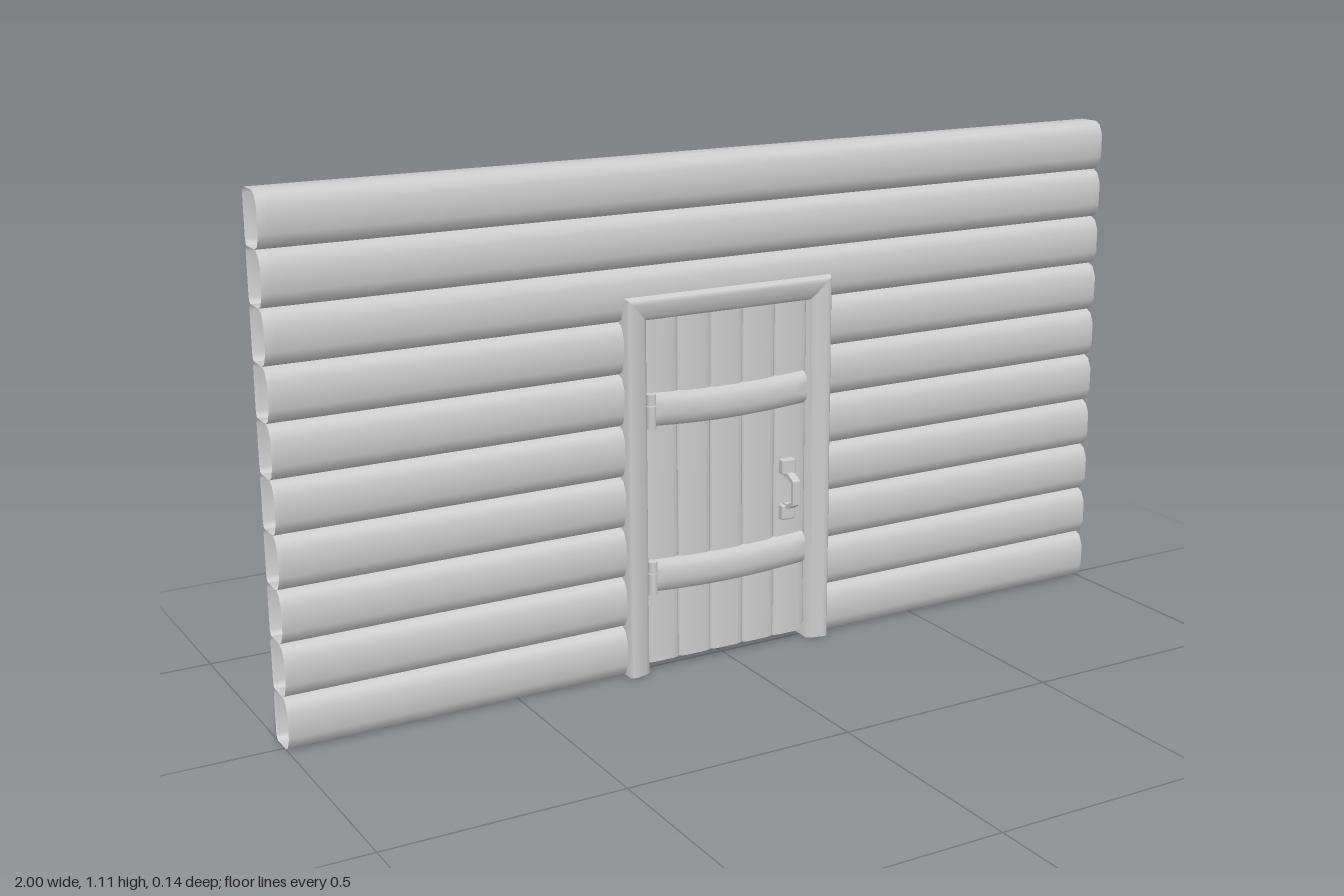
import * as THREE from 'three';
import { toCreasedNormals } from 'three/addons/utils/BufferGeometryUtils.js';
import { RoundedBoxGeometry } from 'three/addons/geometries/RoundedBoxGeometry.js';

const material = new THREE.MeshStandardMaterial({ color: 0xcccccc });
const openMaterial = new THREE.MeshStandardMaterial({ color: 0xcccccc, side: THREE.DoubleSide });

function add(parent, name, geometry, x = 0, y = 0, z = 0) {
  const mesh = new THREE.Mesh(geometry, material);
  mesh.name = name;
  mesh.position.set(x, y, z);
  parent.add(mesh);
  return mesh;
}

// Skin a list of closed rings of [x, y, z] points, with optional end caps.
function loft(rings, capped = true) {
  const n = rings[0].length;
  const index = [];
  for (let i = 0; i < rings.length - 1; i++) {
    for (let j = 0; j < n; j++) {
      const a = i * n + j, b = i * n + (j + 1) % n;
      index.push(a, b, a + n, b, b + n, a + n);
    }
  }
  if (capped) {
    const last = (rings.length - 1) * n;
    for (let j = 1; j < n - 1; j++) {
      index.push(0, j + 1, j, last, last + j, last + j + 1);
    }
  }
  const geometry = new THREE.BufferGeometry();
  geometry.setAttribute('position', new THREE.Float32BufferAttribute(rings.flat(2), 3));
  geometry.setIndex(index);
  return toCreasedNormals(geometry, 1);
}

// Straight beam between two rings; extra rings near the ends keep the shading even.
function beam(start, end, capped = true) {
  const mix = t => start.map((p, j) => p.map((v, k) => v + (end[j][k] - v) * t));
  return loft([0, 0.01, 0.99, 1].map(mix), capped);
}

// Hollow logs with a softly rounded front and a flat back, open at the ends.
function createWall() {
  const wall = new THREE.Group();
  wall.name = 'logWall';
  const rows = 10, h = 1.11 / rows;
  const profile = [
    [h, 0.006], [h - 0.007, 0.02], [h - 0.03, 0.03], [0.03, 0.03], [0.007, 0.02], [0, 0.006],
    [0, -0.041], [0.003, -0.047], [0.012, -0.05], [h - 0.012, -0.05], [h - 0.003, -0.047], [h, -0.041],
  ];
  const ring = x => profile.map(([y, z]) => [x, y, z]);
  for (let i = 0; i < rows; i++) {
    // Lower logs stop either side of the doorway.
    const spans = i < 7 ? [[-1, -0.22], [0.22, 1]] : [[-1, 1]];
    for (const [x0, x1] of spans) {
      add(wall, 'log', beam(ring(x0), ring(x1), false), 0, i * h).material = openMaterial;
    }
  }
  return wall;
}

// Mitred jambs and lintel whose front slopes in to the opening; [u, z], u = 0 at the opening.
function createFrame() {
  const frame = new THREE.Group();
  frame.name = 'doorFrame';
  const profile = [
    [0.05, 0.042], [0.045, 0.047], [0.036, 0.047], [0.008, 0.04], [0, 0.033],
    [0, -0.052], [0.004, -0.062], [0.013, -0.069],
    [0.039, -0.069], [0.047, -0.064], [0.05, -0.055],
  ];
  const ring = (side, y, flare) => profile.map(([u, z]) => [side * (0.2 + u), y + flare * u, z]);
  const leftTop = ring(-1, 0.78, 1), rightTop = ring(1, 0.78, 1);
  add(frame, 'rightJamb', beam(ring(-1, 0.003, 0), leftTop));
  add(frame, 'lintel', beam(leftTop, rightTop));
  add(frame, 'leftJamb', beam(rightTop, ring(1, 0.003, 0)));
  return frame;
}

function plankGeometry(w) {
  const h = w / 2;
  const profile = [
    [-h, 0.018], [-h + 0.004, 0.021], [-h + 0.016, 0.024], [h - 0.016, 0.024],
    [h - 0.004, 0.021], [h, 0.018], [h, 0.002], [h - 0.004, 0], [-h + 0.004, 0], [-h, 0.002],
  ];
  const ring = y => profile.map(([x, z]) => [x, y, z]);
  return beam(ring(0.02), ring(0.785));
}

// Sagging half-round strap across the planks.
function strapGeometry() {
  const profile = [
    [0.036, 0.015], [0.035, 0.03], [0.026, 0.039], [0.01, 0.043], [-0.01, 0.043],
    [-0.026, 0.039], [-0.035, 0.03], [-0.036, 0.015],
  ];
  const rings = [];
  for (let i = 0; i <= 12; i++) {
    const t = i / 12;
    const sag = -0.008 * Math.sin(Math.PI * t);
    rings.push(profile.map(([y, z]) => [-0.195 + 0.385 * t, y + sag, z]));
  }
  return loft(rings);
}

// Flat bar bent into a trapezoid, drawn as [z, y] and given its width along x.
function gripGeometry(width) {
  const outline = [
    [0.03, 0.04], [0.047, 0.04], [0.07, 0.027], [0.07, -0.027], [0.047, -0.04], [0.03, -0.04],
    [0.03, -0.031], [0.045, -0.031], [0.062, -0.021], [0.062, 0.021], [0.045, 0.031], [0.03, 0.031],
  ];
  const shape = new THREE.Shape(outline.map(([z, y]) => new THREE.Vector2(z, y)));
  const geometry = new THREE.ExtrudeGeometry(shape, { depth: width, bevelEnabled: false });
  return geometry.translate(0, 0, -width / 2).rotateY(-Math.PI / 2);
}

function createDoor() {
  const door = new THREE.Group();
  door.name = 'door';

  const plank = plankGeometry(0.08);
  for (let i = -2; i <= 2; i++) add(door, 'plank', plank, i * 0.08);

  // Straps with their hinge knuckles
  const strap = strapGeometry();
  for (const y of [0.587, 0.22]) {
    add(door, 'strap', strap, 0, y);
    add(door, 'hingeLower', new THREE.CylinderGeometry(0.01, 0.01, 0.048, 14), -0.195, y - 0.012, 0.044);
    add(door, 'hingeUpper', new THREE.CylinderGeometry(0.01, 0.01, 0.024, 14), -0.195, y + 0.026, 0.044);
  }

  // Pull handle
  for (const y of [0.414, 0.31]) {
    add(door, 'handlePlate', new RoundedBoxGeometry(0.034, 0.034, 0.02, 2, 0.004), 0.148, y, 0.03);
  }
  add(door, 'handleGrip', gripGeometry(0.018), 0.148, 0.361);
  return door;
}

export function createModel() {
  const model = new THREE.Group();
  model.name = 'logWallWithDoor';
  model.add(createWall(), createFrame(), createDoor());
  return model;
}
